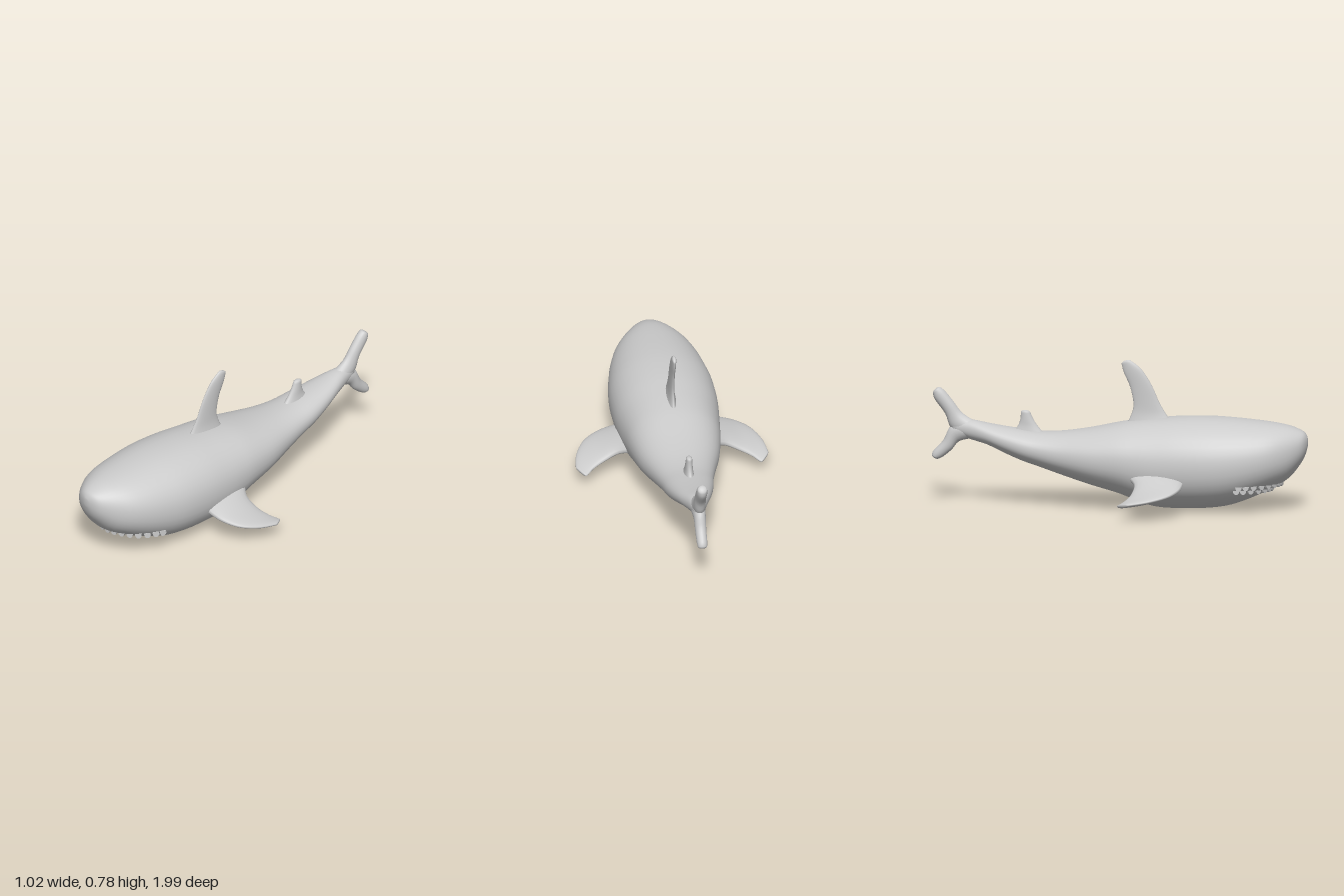
import * as THREE from 'three';

const material = new THREE.MeshStandardMaterial({ color: 0xcccccc });

// Cubic interpolation through rows of numbers; u runs over the row index
function sample(rows, u) {
  const i = Math.min(Math.floor(u), rows.length - 2), f = u - i;
  const at = (k) => rows[Math.max(0, Math.min(rows.length - 1, k))];
  return rows[i].map((p1, k) => {
    const p0 = at(i - 1)[k], p2 = at(i + 1)[k], p3 = at(i + 2)[k];
    return p1 + 0.5 * f * (p2 - p0 + f * (2 * p0 - 5 * p1 + 4 * p2 - p3 + f * (3 * (p1 - p2) + p3 - p0)));
  });
}

function refine(rows, steps) {
  const out = [];
  for (let i = 0; i <= (rows.length - 1) * steps; i++) out.push(sample(rows, i / steps));
  return out;
}

// Skin a list of closed rings, close both ends and face outwards
function loft(name, rings) {
  const n = rings[0].length, pos = [], index = [];
  rings.forEach((ring) => ring.forEach((p) => pos.push(p.x, p.y, p.z)));
  for (let i = 0; i < rings.length - 1; i++) {
    for (let j = 0; j < n; j++) {
      const a = i * n + j, b = i * n + (j + 1) % n;
      index.push(a, b, a + n, b, b + n, a + n);
    }
  }
  [0, rings.length - 1].forEach((r) => {
    const c = new THREE.Vector3();
    rings[r].forEach((p) => c.addScaledVector(p, 1 / n));
    const ci = pos.length / 3;
    pos.push(c.x, c.y, c.z);
    for (let j = 0; j < n; j++) {
      const a = r * n + j, b = r * n + (j + 1) % n;
      if (r === 0) index.push(ci, b, a); else index.push(ci, a, b);
    }
  });
  // Signed volume tells whether the skin is inside out
  const v = (k) => new THREE.Vector3().fromArray(pos, k * 3);
  let volume = 0;
  for (let i = 0; i < index.length; i += 3) {
    volume += v(index[i]).dot(v(index[i + 1]).cross(v(index[i + 2])));
  }
  if (volume < 0) index.reverse();
  const geo = new THREE.BufferGeometry();
  geo.setAttribute('position', new THREE.Float32BufferAttribute(pos, 3));
  geo.setIndex(index);
  geo.computeVertexNormals();
  const mesh = new THREE.Mesh(geo, material);
  mesh.name = name;
  return mesh;
}

// Body stations: z, belly y, back y, half width
const BODY = [
  [0.997, 0.345, 0.385, 0.015], [0.985, 0.30, 0.41, 0.055], [0.96, 0.25, 0.428, 0.095],
  [0.9, 0.175, 0.45, 0.152], [0.82, 0.125, 0.464, 0.205], [0.72, 0.075, 0.475, 0.242],
  [0.6, 0.03, 0.485, 0.268], [0.48, 0.01, 0.49, 0.281], [0.33, 0.004, 0.487, 0.279],
  [0.2, 0.01, 0.476, 0.267], [0.1, 0.04, 0.465, 0.255], [0, 0.078, 0.45, 0.242],
  [-0.15, 0.12, 0.418, 0.213], [-0.3, 0.167, 0.396, 0.17], [-0.42, 0.207, 0.392, 0.142],
  [-0.52, 0.24, 0.402, 0.127], [-0.62, 0.282, 0.416, 0.105], [-0.7, 0.318, 0.43, 0.083],
  [-0.79, 0.343, 0.447, 0.052], [-0.88, 0.375, 0.44, 0.026],
];

const power = (c) => Math.sign(c) * Math.abs(c) ** 0.93;

function makeBody() {
  return loft('body', refine(BODY, 3).map(([z, lo, hi, w]) => {
    const ring = [];
    for (let j = 0; j < 40; j++) {
      const a = (j / 40) * Math.PI * 2;
      ring.push(new THREE.Vector3(w * power(Math.cos(a)), (lo + hi) / 2 + (hi - lo) / 2 * power(Math.sin(a)), z));
    }
    return ring;
  }));
}

// Fin from rows of leading point, trailing point and half thickness
function makeFin(name, rows, normal) {
  const fine = refine(rows, 4);
  const last = fine[fine.length - 1];
  const rings = [];
  const addRing = (r, scale, lift) => {
    const lead = new THREE.Vector3(...r.slice(0, 3)), trail = new THREE.Vector3(...r.slice(3, 6));
    const mid = lead.clone().add(trail).multiplyScalar(0.5).add(lift);
    const half = lead.clone().sub(trail).multiplyScalar(0.5 * scale);
    const ring = [];
    for (let j = 0; j < 20; j++) {
      const a = (j / 20) * Math.PI * 2;
      ring.push(mid.clone().addScaledVector(half, Math.cos(a)).addScaledVector(normal, r[6] * scale * Math.sin(a)));
    }
    rings.push(ring);
  };
  fine.forEach((r) => addRing(r, 1, new THREE.Vector3()));
  // Rounded tip
  const before = fine[fine.length - 2];
  const out = new THREE.Vector3(...[0, 1, 2].map((k) => last[k] + last[k + 3] - before[k] - before[k + 3]));
  out.normalize().multiplyScalar(0.008);
  addRing(last, 0.8, out.clone().multiplyScalar(0.6));
  addRing(last, 0.4, out);
  return loft(name, rings);
}

// Upright fin on the centre line: rows of lead z, lead y, trail z, trail y, half thickness
function uprightFin(name, rows) {
  return makeFin(name, rows.map(([lz, ly, tz, ty, t]) => [0, ly, lz, 0, ty, tz, t]), new THREE.Vector3(1, 0, 0));
}

const PECTORAL = [
  [0.20, 0.18, 0.37, 0.20, 0.20, 0.05, 0.045], [0.29, 0.163, 0.37, 0.28, 0.165, 0.11, 0.036],
  [0.37, 0.147, 0.355, 0.36, 0.125, 0.105, 0.027], [0.445, 0.128, 0.305, 0.42, 0.10, 0.08, 0.02],
  [0.495, 0.108, 0.21, 0.45, 0.085, 0.055, 0.016], [0.512, 0.093, 0.11, 0.465, 0.08, 0.045, 0.012],
];

// Walk back from the snout to the skin at a given x and y
function skinZ(x, y) {
  for (let u = 0; u < 10; u += 0.01) {
    const [z, lo, hi, w] = sample(BODY, u);
    if (Math.abs(x / w) ** 2.15 + Math.abs((y - (lo + hi) / 2) / ((hi - lo) / 2)) ** 2.15 < 1) return z;
  }
  return 0.6;
}

function makeTeeth(name, count, y, reach, rise) {
  const group = new THREE.Group();
  group.name = name;
  const shape = new THREE.Shape();
  shape.moveTo(-0.018, 0.008);
  shape.lineTo(0.018, 0.008);
  shape.quadraticCurveTo(0.016, -0.013, 0, -0.014);
  shape.quadraticCurveTo(-0.016, -0.013, -0.018, 0.008);
  const geo = new THREE.ExtrudeGeometry(shape, { depth: 0.014, bevelEnabled: false, curveSegments: 4 });
  geo.translate(0, 0, -0.006);
  for (let i = 0; i < count; i++) {
    const a = ((i + 0.5) / count * 2 - 1) * 1.35;
    const x = reach * Math.sin(a), ty = y + rise * (1 - Math.cos(a));
    const tooth = new THREE.Mesh(geo, material);
    tooth.name = 'tooth';
    tooth.position.set(x, ty, skinZ(x, ty));
    tooth.rotation.y = a;
    group.add(tooth);
  }
  return group;
}

export function createModel() {
  const model = new THREE.Group();
  model.name = 'shark';
  model.add(makeBody());

  model.add(uprightFin('dorsalFin', [
    [0.28, 0.45, 0.03, 0.43, 0.03], [0.245, 0.50, 0.06, 0.49, 0.018], [0.21, 0.56, 0.073, 0.55, 0.014],
    [0.17, 0.65, 0.055, 0.64, 0.013], [0.115, 0.735, 0.022, 0.715, 0.013], [0.055, 0.782, 0.01, 0.762, 0.011],
  ]));
  model.add(uprightFin('rearDorsalFin', [
    [-0.39, 0.37, -0.57, 0.38, 0.03], [-0.43, 0.415, -0.54, 0.42, 0.022],
    [-0.457, 0.455, -0.527, 0.455, 0.019], [-0.475, 0.495, -0.524, 0.495, 0.016],
  ]));

  // Tail fork
  model.add(uprightFin('upperTailLobe', [
    [-0.74, 0.425, -0.79, 0.36, 0.045], [-0.83, 0.478, -0.89, 0.395, 0.033], [-0.88, 0.54, -0.925, 0.475, 0.03],
    [-0.925, 0.595, -0.98, 0.55, 0.029], [-0.952, 0.616, -0.99, 0.585, 0.025],
  ]));
  model.add(uprightFin('lowerTailLobe', [
    [-0.77, 0.35, -0.79, 0.43, 0.045], [-0.85, 0.33, -0.89, 0.415, 0.033], [-0.89, 0.285, -0.935, 0.335, 0.03],
    [-0.935, 0.247, -0.985, 0.28, 0.028], [-0.96, 0.234, -0.996, 0.257, 0.024],
  ]));

  // Mirrored side fins
  [1, -1].forEach((s) => {
    const rows = PECTORAL.map((r) => r.map((v, k) => (k === 0 || k === 3 ? s * v : v)));
    model.add(makeFin(s > 0 ? 'leftPectoralFin' : 'rightPectoralFin', rows, new THREE.Vector3(0.3 * s, 0.95, 0)));
  });

  model.add(makeTeeth('upperTeeth', 16, 0.146, 0.232, 0));
  model.add(makeTeeth('lowerTeeth', 14, 0.118, 0.222, 0.012));
  return model;
}
